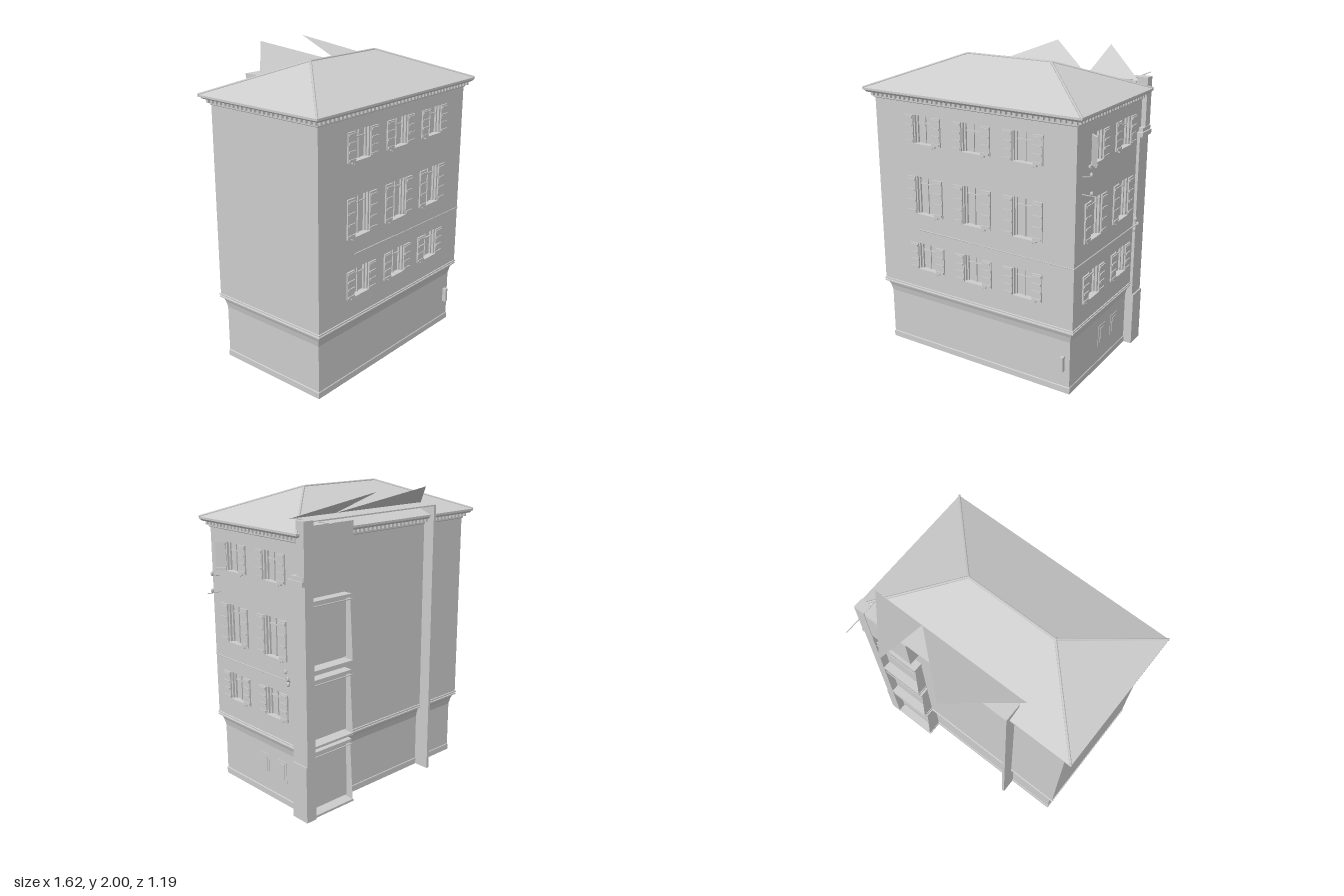
import * as THREE from 'three';

const plaster = new THREE.MeshStandardMaterial({ color: 0xcccccc, side: THREE.DoubleSide });
plaster.name = 'light grey plaster';

function add(parent, name, geometry) {
  const m = new THREE.Mesh(geometry, plaster);
  m.name = name;
  parent.add(m);
  return m;
}

// Box given by its extents
function box(parent, name, x0, x1, y0, y1, z0, z1) {
  const m = add(parent, name, new THREE.BoxGeometry(x1 - x0, y1 - y0, z1 - z0));
  m.position.set((x0 + x1) / 2, (y0 + y1) / 2, (z0 + z1) / 2);
  return m;
}

// Thin round bar between two points
function bar(parent, name, a, b, r = 0.004) {
  const path = new THREE.LineCurve3(new THREE.Vector3(...a), new THREE.Vector3(...b));
  return add(parent, name, new THREE.TubeGeometry(path, 1, r, 6));
}

// Flat-shaded faces from lists of corners, counter-clockwise from outside
function faces(parent, name, polygons) {
  const pos = [];
  for (const p of polygons)
    for (let i = 1; i < p.length - 1; i++) pos.push(...p[0], ...p[i], ...p[i + 1]);
  const g = new THREE.BufferGeometry();
  g.setAttribute('position', new THREE.Float32BufferAttribute(pos, 3));
  g.computeVertexNormals();
  return add(parent, name, g);
}

// Rectangular bands stacked along a profile of [outset, y]
function bands(parent, name, rect, profile) {
  const [x0, x1, z0, z1] = rect;
  const ring = ([o, y]) => [[x0 - o, y, z1 + o], [x1 + o, y, z1 + o], [x1 + o, y, z0 - o], [x0 - o, y, z0 - o]];
  const polys = [];
  for (let i = 0; i < profile.length - 1; i++) {
    const a = ring(profile[i]), b = ring(profile[i + 1]);
    for (let k = 0; k < 4; k++) polys.push([a[k], a[(k + 1) % 4], b[(k + 1) % 4], b[k]]);
  }
  return faces(parent, name, polys);
}

const ROWS = [[0.6, 0.78], [0.99, 1.24], [1.46, 1.64]];
const HALF = 0.066;

function shutter(parent, side, c, y0, y1, angle) {
  const g = new THREE.Group();
  g.name = 'shutter';
  g.position.set(c + side * (HALF + 0.004), 0, 0.004);
  g.rotation.y = -side * angle;
  parent.add(g);
  const s = (name, a, b, ya, yb, za, zb) =>
    box(g, name, Math.min(side * a, side * b), Math.max(side * a, side * b), ya, yb, za, zb);
  s('shutterPanel', 0, 0.068, y0, y1, 0.002, 0.012);
  for (let i = 0; i < 4; i++) {
    const y = y0 + (y1 - y0) * (0.08 + 0.28 * i);
    s('shutterRail', 0.004, 0.064, y - 0.006, y + 0.006, 0.012, 0.018);
  }
}

// Wall facing local +z with recessed windows
function windowWall(name, u0, u1, centres, openShutter) {
  const g = new THREE.Group();
  g.name = name;
  const shape = new THREE.Shape([[u0, 0.44], [u1, 0.44], [u1, 1.76], [u0, 1.76]].map(p => new THREE.Vector2(...p)));
  ROWS.forEach(([y0, y1], r) => centres.forEach((c, i) => {
    const a = c - HALF, b = c + HALF;
    shape.holes.push(new THREE.Path([[a, y0], [a, y1], [b, y1], [b, y0]].map(p => new THREE.Vector2(...p))));
    box(g, 'windowPane', a, b, y0, y1, -0.034, -0.028);
    box(g, 'windowMullion', c - 0.004, c + 0.004, y0, y1, -0.028, -0.02);
    box(g, 'windowTransom', a, b, y1 - 0.055, y1 - 0.047, -0.028, -0.02);
    for (const s of [-1, 1]) {
      box(g, 'windowJamb', c + s * 0.06 - 0.006, c + s * 0.06 + 0.006, y0, y1, -0.028, -0.015);
      shutter(g, s, c, y0, y1, openShutter === r + ',' + i + ',' + s ? 0.8 : 0);
    }
    box(g, 'windowSill', c - 0.095, c + 0.095, y0 - 0.012, y0, -0.02, 0.014);
    box(g, 'sillApron', c - 0.07, c + 0.07, y0 - 0.022, y0 - 0.012, 0, 0.007);
  }));
  const wall = add(g, 'wall', new THREE.ExtrudeGeometry(shape, { depth: 0.03, bevelEnabled: false }));
  wall.position.z = -0.03;
  return g;
}

export function createModel() {
  const model = new THREE.Group();
  model.name = 'townhouse';

  // Ground storey with low plinth and flared top
  bands(model, 'groundStorey', [-0.72, 0.68, -0.29, 0.51],
    [[0.004, 0], [0.004, 0.04], [0, 0.045], [0, 0.36], [0.008, 0.4], [0.02, 0.43], [0.035, 0.435],
      [0.035, 0.443], [0.028, 0.447], [0.036, 0.452], [0.036, 0.46], [0.03, 0.462]]);
  box(model, 'cellarFloor', 0.36, 0.68, 0.002, 0.01, -0.29, 0.51);
  box(model, 'cellarStep', 0.08, 0.36, 0.002, 0.01, -0.29, -0.19);

  // Upper walls
  const front = windowWall('frontWall', -0.75, 0.71, [-0.37, -0.003, 0.362], '');
  front.position.z = 0.54;
  const side = windowWall('sideWall', -0.54, 0.32, [-0.303, 0.075], '2,0,-1');
  side.rotation.y = Math.PI / 2;
  side.position.x = 0.71;
  model.add(front, side);
  box(model, 'blankSideWall', -0.75, -0.74, 0.44, 1.76, -0.32, 0.539);
  box(model, 'backWall', -0.75, 0.709, 0.44, 1.76, -0.32, -0.31);

  // Cornice with dentils
  bands(model, 'cornice', [-0.75, 0.71, -0.32, 0.54],
    [[0, 1.715], [0.008, 1.72], [0.008, 1.732], [0.012, 1.752], [0.038, 1.754], [0.05, 1.768]]);
  const dentils = (n, place) => {
    for (let i = 0; i < n; i++) {
      const m = add(model, 'dentil', new THREE.BoxGeometry(0.018, 0.022, 0.018));
      m.position.copy(place((i + 0.5) / n));
    }
  };
  for (const [z, s] of [[0.54, 1], [-0.32, -1]])
    dentils(42, t => new THREE.Vector3(-0.77 + 1.5 * t, 1.743, z + s * 0.02));
  for (const [x, s] of [[0.71, 1], [-0.75, -1]])
    dentils(25, t => new THREE.Vector3(x + s * 0.02, 1.743, -0.34 + 0.9 * t));

  // Hipped roof
  box(model, 'eaves', -0.81, 0.76, 1.767, 1.78, -0.37, 0.59);
  const A = [-0.81, 1.78, 0.59], B = [0.76, 1.78, 0.59], C = [0.76, 1.78, -0.37], D = [-0.81, 1.78, -0.37];
  const R = [-0.33, 1.973, 0.11], S = [0.29, 1.973, 0.11];
  faces(model, 'roof', [[A, B, S, R], [B, C, S], [C, D, R, S], [D, A, R]]);
  for (const [a, b] of [[A, R], [D, R], [B, S], [C, S], [R, S]]) bar(model, 'ridgeTile', a, b, 0.008);

  // Rear raised roof panels
  faces(model, 'rearRoofPanels', [
    [[-0.41, 1.845, -0.245], [0.35, 1.845, -0.245], [-0.06, 1.998, -0.59]],
    [[0.35, 1.845, -0.245], [0.71, 1.845, -0.245], [0.35, 1.998, -0.59]]]);
  box(model, 'rearRoofStrip', -0.38, 0.66, 1.838, 1.846, -0.4, -0.245);
  bar(model, 'rearGutter', [0.66, 1.846, -0.24], [0.66, 1.846, -0.55], 0.003);

  // Rear fin and corner pier
  box(model, 'rearFin', -0.385, -0.365, 0, 1.845, -0.4, -0.28);
  box(model, 'pierBase', 0.665, 0.74, 0, 0.37, -0.4, -0.27);
  box(model, 'pierShaft', 0.665, 0.73, 0.37, 1.48, -0.4, -0.27);
  box(model, 'pierCap', 0.66, 0.75, 1.48, 1.51, -0.4, -0.265);
  box(model, 'pierCapStep', 0.66, 0.74, 1.51, 1.535, -0.403, -0.29);
  box(model, 'pierTop', 0.66, 0.735, 1.535, 1.85, -0.403, -0.335);
  box(model, 'rearTopPanel', 0.35, 0.66, 1.53, 1.82, -0.4, -0.325);

  // Stacked rear loggias
  for (const y of [0.01, 0.47, 0.95]) {
    box(model, 'loggiaFloor', 0.35, 0.665, y, y + 0.015, -0.4, -0.29);
    box(model, 'loggiaPanel', 0.36, 0.665, y + 0.03, y + 0.4, -0.345, -0.29);
    box(model, 'loggiaLintel', 0.35, 0.665, y + 0.41, y + 0.43, -0.385, -0.3);
    faces(model, 'loggiaCheek', [
      [[0.355, y, -0.29], [0.355, y, -0.4], [0.355, y + 0.42, -0.375], [0.355, y + 0.42, -0.29]]]);
    bar(model, 'loggiaRail', [0.35, y + 0.4, -0.39], [0.665, y + 0.4, -0.39]);
  }

  // Small ground storey windows
  for (const z of [0.083, -0.092]) {
    box(model, 'cellarWindow', 0.678, 0.683, 0.15, 0.295, z - 0.047, z + 0.047);
    box(model, 'cellarWindowSash', 0.683, 0.687, 0.17, 0.275, z - 0.025, z + 0.025);
  }

  // Cables along the walls
  bar(model, 'frontCable', [-0.43, 0.876, 0.543], [-0.03, 0.872, 0.543]);
  bar(model, 'frontCable', [-0.03, 0.87, 0.543], [0.71, 0.865, 0.543], 0.003);
  bar(model, 'sideCable', [0.713, 0.868, 0.54], [0.713, 0.868, -0.24]);

  // Wall lantern, hooks and brackets
  box(model, 'doorLantern', 0.625, 0.645, 0.155, 0.255, 0.51, 0.538);
  bar(model, 'cableBracket', [0.71, 0.865, -0.23], [0.75, 0.9, -0.24], 0.005);
  for (const [x, y, z] of [[0.745, 0.94, -0.23], [0.75, 0.9, -0.255], [0.735, 0.86, -0.24], [0.765, 1.43, 0.465], [0.77, 1.32, 0.465]]) {
    const knob = add(model, 'insulator', new THREE.SphereGeometry(0.01, 8, 6));
    knob.scale.y = 1.5;
    knob.position.set(x, y, z);
  }
  bar(model, 'wallHook', [0.71, 1.41, 0.465], [0.765, 1.42, 0.465], 0.003);
  bar(model, 'wallHook', [0.71, 1.305, 0.465], [0.805, 1.305, 0.465], 0.003);
  return model;
}
